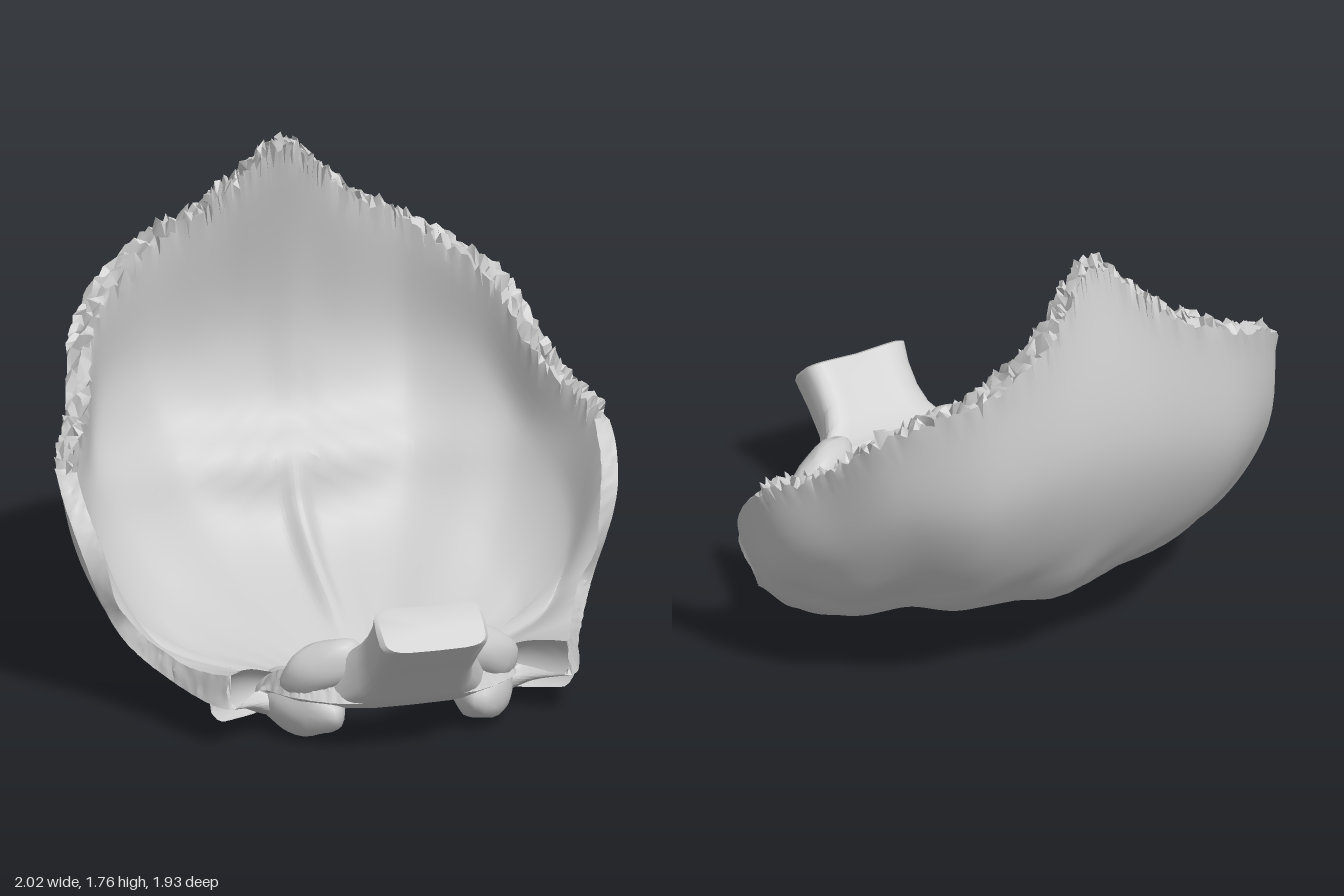
import * as THREE from 'three';
import { toCreasedNormals } from 'three/addons/utils/BufferGeometryUtils.js';

const V = (x, y, z) => new THREE.Vector3(x, y, z);
const bell = (v, w) => Math.exp(-((v / w) ** 2));
const material = new THREE.MeshStandardMaterial({ color: 0xcccccc });

function seeded(seed) {
  return () => {
    seed = (seed * 1664525 + 1013904223) % 4294967296;
    return seed / 4294967296;
  };
}

// Closed skin through loops of equal length; optionally joins last loop to first
function skin(loops, ring) {
  const n = loops[0].length, pos = [], index = [];
  loops.forEach(l => l.forEach(p => pos.push(p.x, p.y, p.z)));
  const count = ring ? loops.length : loops.length - 1;
  for (let i = 0; i < count; i++) {
    const a = i * n, b = ((i + 1) % loops.length) * n;
    for (let k = 0; k < n; k++) {
      const m = (k + 1) % n;
      index.push(a + k, a + m, b + m, a + k, b + m, b + k);
    }
  }
  const g = new THREE.BufferGeometry();
  g.setAttribute('position', new THREE.Float32BufferAttribute(pos, 3));
  g.setIndex(index);
  return g;
}

function addMesh(group, name, geometry) {
  const mesh = new THREE.Mesh(geometry, material);
  mesh.name = name;
  group.add(mesh);
  return mesh;
}

// Ribs from the central opening to the outer rim, back midline to front:
// opening angle, two middle points, rim point, thickness at opening and rim
const curvedRibs = [
  [0, 0, .34, -.6, 0, .97, -.95, 0, 1.74, -.83, .05, .08],
  [8, .09, .34, -.6, .12, .96, -.95, .12, 1.63, -.87, .05, .09],
  [16, .19, .345, -.595, .25, .93, -.945, .26, 1.5, -.92, .045, .1],
  [28, .37, .35, -.56, .5, .88, -.915, .5, 1.38, -.925, .04, .1],
  [42, .53, .36, -.48, .72, .85, -.75, .78, 1.2, -.72, .04, .09],
  [56, .62, .28, -.34, .84, .65, -.52, .9, .95, -.45, .05, .08],
  [70, .66, .2, -.17, .9, .52, -.31, 1, .82, -.24, .06, .07],
  [82, .64, .13, -.03, .86, .32, -.1, .98, .6, -.05, .08, .07],
];
const baseRibs = [
  [92, .5, .075, .1, .72, .15, .03, .86, .29, .02, .1, .06],
  [103, .45, .05, .27, .6, .11, .24, .75, .18, .23, .14, .07],
  [117, .39, .06, .41, .51, .11, .45, .62, .15, .55, .17, .12],
  [126, .32, .09, .46, .4, .13, .44, .47, .16, .41, .18, .07],
  [140, .25, .11, .55, .32, .14, .57, .4, .18, .58, .2, .11],
  [160, .15, .14, .61, .19, .15, .64, .24, .17, .67, .18, .17],
  [180, 0, .15, .63, 0, .16, .66, 0, .18, .7, .14, .17],
];

function shellGeometry() {
  const half = [...curvedRibs, ...baseRibs].map(r => {
    const a = r[0] * Math.PI / 180, c = Math.cos(a);
    return {
      pts: [V(.295 * Math.sin(a), .06 + .09 * Math.max(0, -c) ** 2, .28 - .325 * c),
        V(r[1], r[2], r[3]), V(r[4], r[5], r[6]), V(r[7], r[8], r[9])],
      th: [r[10], r[11]],
    };
  });
  const mirrored = half.slice(1, -1).reverse().map(r => ({
    pts: r.pts.map(p => V(-p.x, p.y, p.z)), th: r.th,
  }));
  const ribs = [...half, ...mirrored], N = ribs.length;
  const STEP = 16, COLS = N * STEP, ROWS = 30, LAYERS = 4;
  const rings = [0, 1, 2, 3].map(k =>
    new THREE.CatmullRomCurve3(ribs.map(r => r.pts[k]), true, 'centripetal'));

  // Smooth outer surface
  const grid = [];
  for (let i = 0; i < COLS; i++) {
    const rib = new THREE.CatmullRomCurve3(rings.map(c => c.getPoint(i / COLS)), false, 'centripetal');
    grid.push(rib.getSpacedPoints(ROWS));
  }

  const rand = seeded(7), loops = [];
  for (let i = 0; i < COLS; i++) {
    const s = i / STEP, r0 = ribs[Math.floor(s)], r1 = ribs[(Math.floor(s) + 1) % N];
    const f = THREE.MathUtils.smoothstep(s % 1, 0, 1);
    const jag = Math.min(s, N - s) < 6.1 ? 1 : .12;
    const outer = [], inner = [];
    for (let j = 0; j <= ROWS; j++) {
      const p = grid[i][j], t = j / ROWS;
      const du = grid[(i + 1) % COLS][j].clone().sub(grid[(i + COLS - 1) % COLS][j]);
      const dv = grid[i][Math.min(j + 1, ROWS)].clone().sub(grid[i][Math.max(j - 1, 0)]);
      const n = du.cross(dv).normalize();
      let th = THREE.MathUtils.lerp(
        THREE.MathUtils.lerp(r0.th[0], r1.th[0], f),
        THREE.MathUtils.lerp(r0.th[1], r1.th[1], f), t);
      const back = THREE.MathUtils.smoothstep(-p.z, .02, .3) * (1 - THREE.MathUtils.smoothstep(t, .8, 1));
      // Inner crest, transverse ridges and the low swelling above them
      th += back * (.045 * bell(p.x, .04) * bell(p.y - .28, .2)
        + .07 * bell(p.y - .55 - .1 * p.x * p.x, .1) * bell(p.x, .6)
        + .025 * bell(p.x - .05, .09) * bell(p.y - 1, .4));
      // Rough muscle attachments on the lower outside
      const rough = .012 * back * bell(p.y - .35, .18)
        * (Math.sin(p.x * 17 + p.y * 9) * Math.cos(p.z * 13 - p.x * 4) + 1.5 * bell(p.x, .08));
      outer.push(p.clone().addScaledVector(n, -rough));
      inner.push(p.clone().addScaledVector(n, th));
    }
    // Serrated rim
    const along = grid[i][ROWS].clone().sub(grid[i][ROWS - 1]).normalize();
    const shake = (p, a) => p.addScaledVector(along, (rand() - .5) * a * jag)
      .add(V(rand() - .5, rand() - .5, rand() - .5).multiplyScalar(a * .4 * jag));
    const rim = [];
    for (let l = 1; l < LAYERS; l++)
      rim.push(shake(outer[ROWS].clone().lerp(inner[ROWS], l / LAYERS), .065));
    shake(outer[ROWS], .03);
    shake(inner[ROWS], .05);
    loops.push([...outer, ...rim, ...inner.reverse()]);
  }
  return toCreasedNormals(skin(loops, true), .6);
}

// Sloping front block, flared at its root: top y,z then bottom y,z then half width
function frontBlockGeometry() {
  const sections = [
    [.3, .6, .13, .61, .3], [.36, .63, .14, .66, .26], [.41, .675, .19, .72, .21],
    [.46, .72, .26, .78, .19], [.52, .78, .34, .87, .19], [.565, .82, .42, .95, .2],
    [.56, .835, .435, .965, .185],
  ];
  const pw = v => Math.sign(v) * Math.abs(v) ** .45;
  const loops = sections.map(([ty, tz, by, bz, w]) => {
    const loop = [];
    for (let k = 0; k < 24; k++) {
      const a = k / 24 * Math.PI * 2, t = (1 + pw(Math.sin(a))) / 2, x = w * pw(Math.cos(a));
      const dip = .015 * t * bell(x, .12);
      loop.push(V(x, by + (ty - by) * t - dip, bz + (tz - bz) * t + dip * .5));
    }
    return loop;
  });
  const cap = l => {
    const c = l.reduce((s, p) => s.add(p), V(0, 0, 0)).divideScalar(l.length);
    return l.map(() => c);
  };
  loops.unshift(cap(loops[0]));
  loops.push(cap(loops[loops.length - 1]));
  return toCreasedNormals(skin(loops, false), .6);
}

// Low, slightly uneven lump
function lumpGeometry(rx, ry, rz) {
  const g = new THREE.SphereGeometry(1, 18, 12), p = g.attributes.position;
  for (let i = 0; i < p.count; i++) {
    const x = p.getX(i), y = p.getY(i), z = p.getZ(i);
    const k = 1 + .05 * Math.sin(5 * x + 3 * z) * Math.cos(4 * y);
    p.setXYZ(i, x * rx * k, y * ry * k, z * rz * k);
  }
  g.computeVertexNormals();
  return g;
}

export function createModel() {
  const group = new THREE.Group();
  group.name = 'skullBaseBone';
  addMesh(group, 'curvedShell', shellGeometry());
  addMesh(group, 'frontBlock', frontBlockGeometry());
  for (const s of [-1, 1]) {
    const side = s > 0 ? 'left' : 'right';
    // Rounded joint surfaces beside the opening
    const condyle = addMesh(group, side + 'Condyle', lumpGeometry(.11, .11, .22));
    condyle.position.set(s * .33, .115, .44);
    condyle.rotation.y = -s * .35;
    // Raised shoulder running from the block out above each joint
    const shoulder = addMesh(group, side + 'Shoulder', lumpGeometry(.16, .09, .075));
    shoulder.position.set(s * .29, .28, .575);
    shoulder.rotation.set(0, s * .4, -s * .45);
  }
  return group;
}
